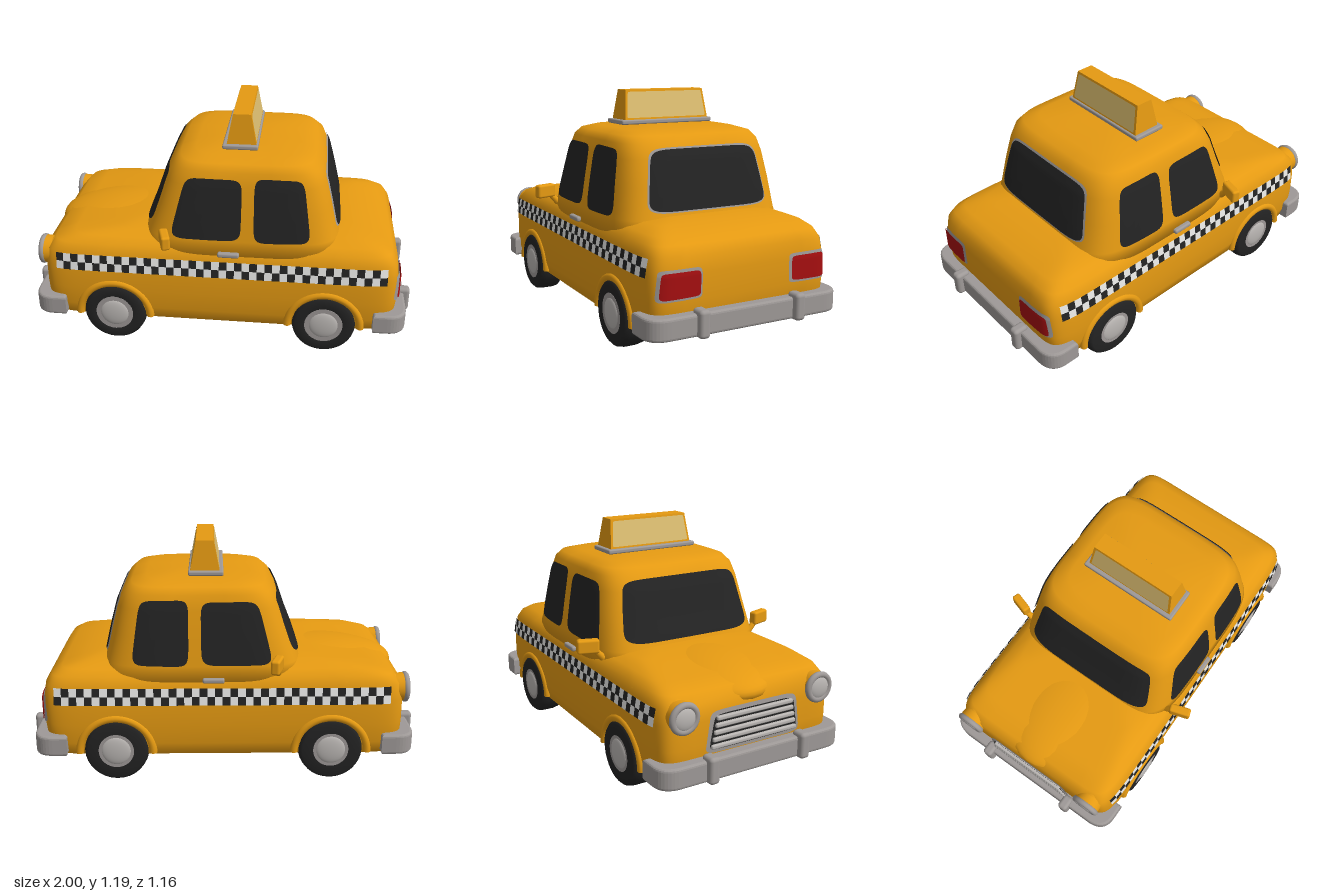
import * as THREE from 'three';
import { RoundedBoxGeometry } from 'three/addons/geometries/RoundedBoxGeometry.js';

const mat = (name, color) => new THREE.MeshStandardMaterial({ name, color, side: THREE.DoubleSide });

// Stacked rounded sections: [y, xMin, xMax, halfWidth]
const BODY = { n: 14, levels: [
  [0.13, -0.84, 0.84, 0.45], [0.135, -0.88, 0.88, 0.48], [0.2, -0.91, 0.91, 0.497], [0.3, -0.915, 0.92, 0.5],
  [0.42, -0.915, 0.92, 0.498], [0.5, -0.905, 0.91, 0.484], [0.545, -0.86, 0.88, 0.462], [0.575, -0.76, 0.83, 0.425],
  [0.6, -0.52, 0.72, 0.36], [0.615, -0.4, 0.62, 0.25], [0.62, -0.2, 0.4, 0.1]] };
const CABIN = { n: 5.5, levels: [
  [0.5, -0.43, 0.66, 0.476], [0.6, -0.395, 0.615, 0.464], [0.75, -0.335, 0.58, 0.442], [0.88, -0.29, 0.545, 0.42],
  [0.95, -0.255, 0.515, 0.402], [0.985, -0.215, 0.475, 0.375], [1.005, -0.14, 0.4, 0.31], [1.015, 0, 0.25, 0.15]] };

const spow = (v, p) => Math.sign(v) * Math.abs(v) ** p;

function geometry(positions, index) {
  const g = new THREE.BufferGeometry();
  g.setAttribute('position', new THREE.Float32BufferAttribute(positions, 3));
  g.setIndex(index);
  g.computeVertexNormals();
  return g;
}

// Loft a hull through its superellipse sections and close both ends
function stack({ n, levels }, seg = 128) {
  const pos = [], idx = [];
  for (const [y, x0, x1, w] of levels)
    for (let j = 0; j < seg; j++) {
      const t = (j / seg) * Math.PI * 2;
      pos.push((x0 + x1) / 2 + (x1 - x0) / 2 * spow(Math.cos(t), 2 / n), y, w * spow(Math.sin(t), 2 / n));
    }
  const last = (levels.length - 1) * seg, low = levels.length * seg;
  for (const [y, x0, x1] of [levels[0], levels.at(-1)]) pos.push((x0 + x1) / 2, y, 0);
  for (let j = 0; j < seg; j++) {
    const k = (j + 1) % seg;
    for (let i = 0; i < last; i += seg)
      idx.push(i + j, i + seg + j, i + k, i + k, i + seg + j, i + seg + k);
    idx.push(low, j, k, low + 1, last + k, last + j);
  }
  return geometry(pos, idx);
}

// Section at a height, then the hull surface seen from the side or the end
function section({ levels }, y) {
  let i = 0;
  while (i < levels.length - 2 && levels[i + 1][0] < y) i++;
  const a = levels[i], b = levels[i + 1], t = (y - a[0]) / (b[0] - a[0]);
  return [1, 2, 3].map(k => a[k] + (b[k] - a[k]) * t);
}
const arc = (u, n) => Math.max(0, 1 - Math.abs(u) ** n) ** (1 / n);
const onSide = (hull, s, off) => (x, y) => {
  const [x0, x1, w] = section(hull, y);
  return [x, y, s * (w * arc((x - (x0 + x1) / 2) / ((x1 - x0) / 2), hull.n) + off)];
};
const onEnd = (hull, s, off) => (z, y) => {
  const [x0, x1, w] = section(hull, y);
  return [(x0 + x1) / 2 + s * ((x1 - x0) / 2 * arc(z / w, hull.n) + off), y, z];
};

// Rounded four-cornered plate laid on a surface; corners run round the outline
function patch([a, b, c, d], project, m = 6, rings = 10, seg = 64) {
  const pos = [], idx = [];
  for (let i = 0; i <= rings; i++)
    for (let j = 0; j < seg; j++) {
      const t = (j / seg) * Math.PI * 2, r = i / rings;
      const u = (1 + r * spow(Math.cos(t), 2 / m)) / 2, v = (1 + r * spow(Math.sin(t), 2 / m)) / 2;
      const p = [0, 1].map(k => (a[k] * (1 - u) + b[k] * u) * (1 - v) + (d[k] * (1 - u) + c[k] * u) * v);
      pos.push(...project(...p));
      if (i < rings) {
        const q = i * seg + j, k = i * seg + (j + 1) % seg;
        if (i > 0) idx.push(q, q + seg, k);
        idx.push(k, q + seg, k + seg);
      }
    }
  return geometry(pos, idx);
}
const grow = (quad, e) => quad.map(([p, q], i) => [p + (i === 1 || i === 2 ? e : -e) * Math.sign(quad[1][0] - quad[0][0]), q + (i > 1 ? e : -e)]);

export function createModel() {
  const yellow = mat('taxi yellow', 0xe59a12), black = mat('black', 0x232323), grey = mat('chrome grey', 0x9e9997);
  const silver = mat('silver', 0xbab6b3), white = mat('white', 0xe8e8e6), red = mat('lamp red', 0xa60f10), cream = mat('sign cream', 0xdfc072);
  const car = new THREE.Group();
  const add = (name, geo, material, x = 0, y = 0, z = 0) => {
    const mesh = new THREE.Mesh(geo, material);
    mesh.name = name;
    mesh.position.set(x, y, z);
    car.add(mesh);
    return mesh;
  };

  // Shell
  add('body', stack(BODY), yellow);
  add('cabin', stack(CABIN), yellow);
  add('bonnet', new THREE.SphereGeometry(1, 40, 24).scale(0.45, 0.115, 0.31), yellow, -0.47, 0.495);

  // Windscreen and rear window
  add('windscreen', patch([[-0.375, 0.635], [0.375, 0.635], [0.33, 0.935], [-0.33, 0.935]], onEnd(CABIN, -1, 0.008), 8), black);
  const rear = [[-0.335, 0.637], [0.335, 0.637], [0.29, 0.925], [-0.29, 0.925]];
  add('rearWindowFrame', patch(grow(rear, 0.008), onEnd(CABIN, 1, 0.005), 8), grey);
  add('rearWindow', patch(rear, onEnd(CABIN, 1, 0.009), 8), black);

  // Tyre and hub profiles
  const tyre = new THREE.LatheGeometry([[0.09, -0.07], [0.145, -0.07], [0.16, -0.055], [0.165, -0.03], [0.165, 0.03],
    [0.16, 0.055], [0.145, 0.07], [0.1, 0.07], [0.09, 0.06]].map(p => new THREE.Vector2(...p)), 32).rotateX(Math.PI / 2);
  const arch = new THREE.TorusGeometry(0.187, 0.02, 10, 32, Math.PI);

  for (const s of [1, -1]) {
    // Side windows
    add('frontSideWindow', patch([[-0.245, 0.607], [0.115, 0.607], [0.118, 0.92], [-0.165, 0.92]], onSide(CABIN, s, 0.008), 7), black);
    add('rearSideWindow', patch([[0.18, 0.602], [0.465, 0.608], [0.42, 0.925], [0.178, 0.93]], onSide(CABIN, s, 0.008), 7), black);

    // Checkered band
    const cells = [[[], []], [[], []]], cols = 44, x0 = -0.835, step = 1.69 / cols;
    const project = onSide(BODY, s, 0.008);
    for (let i = 0; i < cols; i++)
      for (let j = 0; j < 2; j++) {
        const [pos, idx] = cells[(i + j) % 2], k = pos.length / 3, x = x0 + i * step, y = 0.41 + j * 0.043;
        for (const [dx, dy] of [[0, 0], [step, 0], [step, 0.043], [0, 0.043]]) pos.push(...project(x + dx, y + dy));
        idx.push(...(s > 0 ? [0, 1, 2, 0, 2, 3] : [0, 2, 1, 0, 3, 2]).map(v => v + k));
      }
    add('whiteChecks', geometry(...cells[0]), white);
    add('blackChecks', geometry(...cells[1]), black);

    // Wheels and arches
    for (const x of [-0.54, 0.55]) {
      add('tyre', tyre, black, x, 0.165, s * 0.443);
      add('wheelRim', new THREE.CylinderGeometry(0.098, 0.103, 0.05, 32).rotateX(s * Math.PI / 2), grey, x, 0.165, s * 0.487);
      add('hubCap', new THREE.SphereGeometry(1, 28, 14).scale(0.076, 0.076, 0.016), silver, x, 0.165, s * 0.508);
      add('wheelArch', arch, yellow, x, 0.148, s * 0.492);
    }

    // Front wings and headlights
    add('frontWing', new THREE.SphereGeometry(1, 32, 20).scale(0.32, 0.1, 0.1), yellow, -0.61, 0.475, s * 0.385);
    add('headlightShell', new THREE.CylinderGeometry(0.074, 0.07, 0.07, 32).rotateZ(Math.PI / 2), yellow, -0.895, 0.46, s * 0.385);
    add('headlightRing', new THREE.TorusGeometry(0.063, 0.016, 12, 36).rotateY(Math.PI / 2), grey, -0.925, 0.46, s * 0.385);
    add('headlightLens', new THREE.SphereGeometry(1, 28, 14).scale(0.02, 0.06, 0.06), silver, -0.925, 0.46, s * 0.385);

    // Tail lamps
    const lamp = [[s * 0.25, 0.32], [s * 0.455, 0.316], [s * 0.443, 0.437], [s * 0.25, 0.437]];
    add('tailLampFrame', patch(grow(lamp, 0.012), onEnd(BODY, 1, 0.006), 9), grey);
    add('tailLamp', patch(lamp, onEnd(BODY, 1, 0.013), 9), red);

    // Door handle and mirror
    add('doorHandle', new RoundedBoxGeometry(0.11, 0.026, 0.03, 3, 0.01), grey, 0.055, 0.532, s * 0.478);
    const mirror = add('mirror', new RoundedBoxGeometry(0.045, 0.072, 0.112, 3, 0.012), yellow, -0.258, 0.63, s * 0.525);
    mirror.rotation.y = s * 0.3;
    const arm = add('mirrorArm', new THREE.CylinderGeometry(0.014, 0.018, 0.075, 12), yellow, -0.268, 0.588, s * 0.474);
    arm.rotation.x = s * 0.75;
  }

  // Grille
  const grille = [[-0.255, 0.275], [0.255, 0.275], [0.225, 0.445], [-0.225, 0.445]];
  add('grilleFrame', patch(grow(grille, 0.018), onEnd(BODY, -1, 0.01), 9), grey);
  add('grilleBack', patch(grille, onEnd(BODY, -1, 0.015), 9), black);
  for (let i = 0; i < 5; i++)
    add('grilleBar', new RoundedBoxGeometry(0.025, 0.022, 0.49 - i * 0.014, 2, 0.008), silver, -0.93, 0.292 + i * 0.034, 0);

  // Wrap-around bumpers with overriders
  const plan = new THREE.Shape();
  plan.moveTo(0.81, -0.513).lineTo(0.87, -0.513).quadraticCurveTo(0.955, -0.513, 0.955, -0.42).lineTo(0.955, 0.42);
  plan.quadraticCurveTo(0.955, 0.513, 0.87, 0.513).lineTo(0.81, 0.513).lineTo(0.81, 0.46).lineTo(0.86, 0.46);
  plan.quadraticCurveTo(0.9, 0.46, 0.9, 0.41).lineTo(0.9, -0.41).quadraticCurveTo(0.9, -0.46, 0.86, -0.46).lineTo(0.81, -0.46);
  const bumper = new THREE.ExtrudeGeometry(plan, { depth: 0.078, bevelThickness: 0.014, bevelSize: 0.013, bevelSegments: 3, curveSegments: 10 });
  bumper.rotateX(Math.PI / 2);
  for (const e of [1, -1]) {
    add(e > 0 ? 'rearBumper' : 'frontBumper', bumper, grey, 0, 0.234, 0).rotation.y = e > 0 ? 0 : Math.PI;
    for (const s of [1, -1])
      add('overrider', new RoundedBoxGeometry(0.08, 0.132, 0.055, 3, 0.018), grey, e * 0.96, 0.203, s * 0.262);
  }

  // Roof sign
  add('signBase', new RoundedBoxGeometry(0.18, 0.024, 0.53, 3, 0.008), grey, 0.092, 1.026, 0);
  const sign = new THREE.BoxGeometry(0.15, 0.155, 0.49), p = sign.attributes.position;
  for (let i = 0; i < p.count; i++)
    if (p.getY(i) > 0) p.setXYZ(i, p.getX(i) * 0.6, p.getY(i), p.getZ(i) * 0.93);
  sign.computeVertexNormals();
  add('roofSign', sign, yellow, 0.0975, 1.1125, 0);
  for (const s of [1, -1])
    add('signPanel', patch([[-0.232, 1.047], [0.232, 1.047], [0.217, 1.18], [-0.217, 1.18]],
      (z, y) => [0.0975 + s * (0.077 - 0.03 * (y - 1.035) / 0.155), y, z], 30), cream);

  return car;
}
